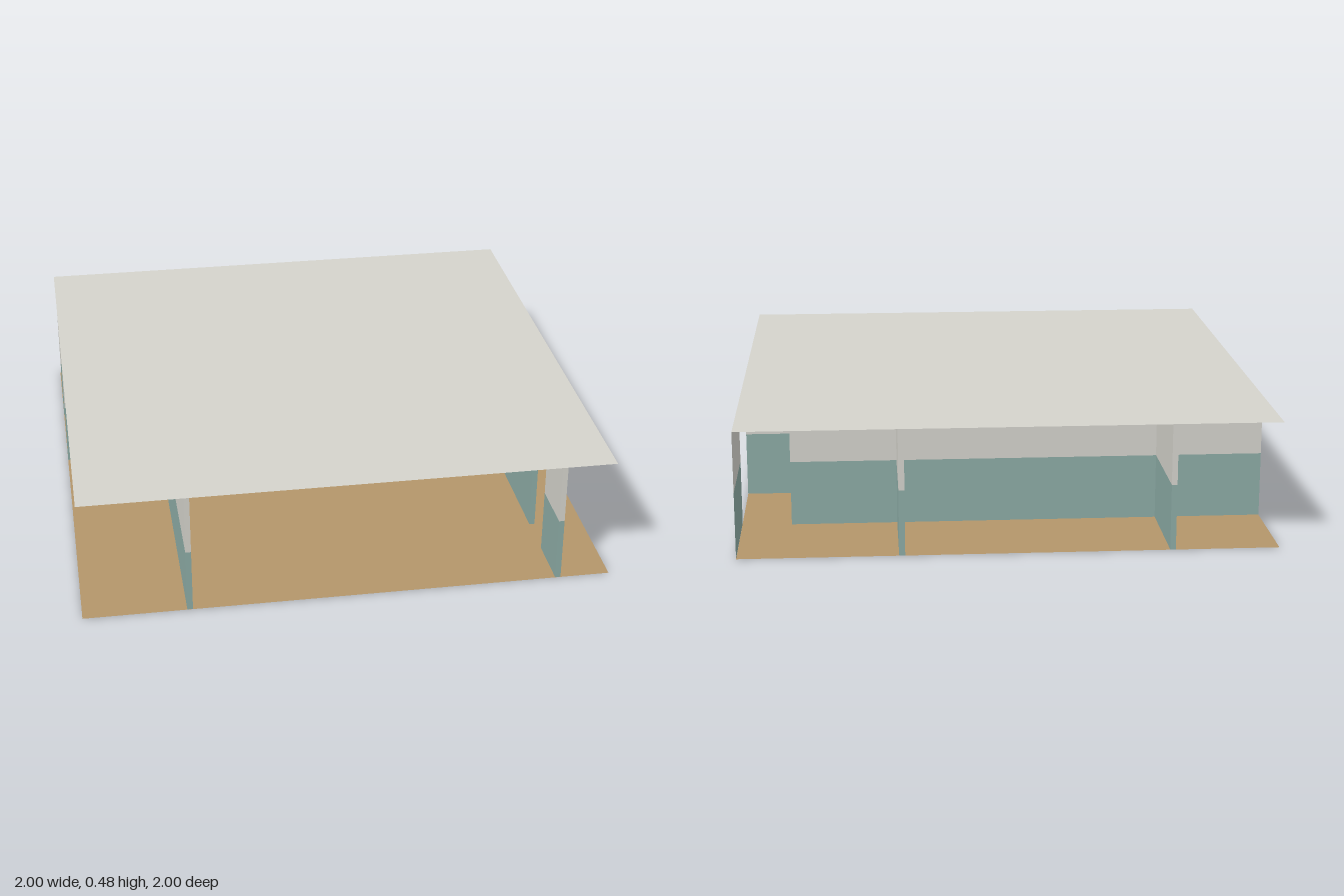
import * as THREE from 'three';

export function createModel() {
  const model = new THREE.Group();
  const mat = (name, color) => {
    const m = new THREE.MeshStandardMaterial({ color, side: THREE.DoubleSide });
    m.name = name;
    return m;
  };
  const plaster = mat('plaster grey', 0xd4d3cc);
  const teal = mat('dado teal', 0x8caba5);
  const wood = mat('floor brown', 0xb4966a);

  const HEIGHT = 0.48, DADO = 0.25, BASE = 0.001;

  // Flat square sheets for floor and ceiling
  const sheet = (name, y, material) => {
    const mesh = new THREE.Mesh(new THREE.PlaneGeometry(2, 2).rotateX(-Math.PI / 2), material);
    mesh.name = name;
    mesh.position.y = y;
    model.add(mesh);
  };
  sheet('floor', 0, wood);
  sheet('ceiling', HEIGHT, plaster);

  // A wall over a rectangle of the plan: painted band below, plaster above
  const wall = (name, x0, x1, z0, z1) => {
    const group = new THREE.Group();
    group.name = name;
    for (const [part, y0, y1, material] of [
      ['lowerBand', BASE, DADO, teal],
      ['upperBand', DADO, HEIGHT, plaster],
    ]) {
      const geometry = x0 === x1
        ? new THREE.PlaneGeometry(z1 - z0, y1 - y0).rotateY(Math.PI / 2)
        : new THREE.BoxGeometry(x1 - x0, y1 - y0, z1 - z0);
      const mesh = new THREE.Mesh(geometry, material);
      mesh.name = part;
      mesh.position.set((x0 + x1) / 2, (y0 + y1) / 2, (z0 + z1) / 2);
      group.add(mesh);
    }
    model.add(group);
  };

  // Main room: side walls, one with a doorway
  wall('roomRightWall', -0.613, -0.592, -0.184, 1);
  wall('roomLeftWallFront', 0.79, 0.811, 0.792, 1);
  wall('roomLeftWallBack', 0.79, 0.811, -0.184, 0.614);

  // Corridor front wall with a doorway
  wall('corridorFrontWallRight', -1, 0.209, -0.209, -0.184);
  wall('corridorFrontWallLeft', 0.385, 1, -0.209, -0.184);

  // Corridor back wall
  wall('corridorBackWall', -1, 0.811, -0.613, -0.587);

  // Back room partitions
  wall('backPartitionRight', -0.613, -0.592, -1, -0.613);
  wall('backPartitionLeft', 0.385, 0.407, -1, -0.613);

  // Thin outer wall at the back left corner
  wall('outerSideWall', 1, 1, -1, -0.587);

  return model;
}
